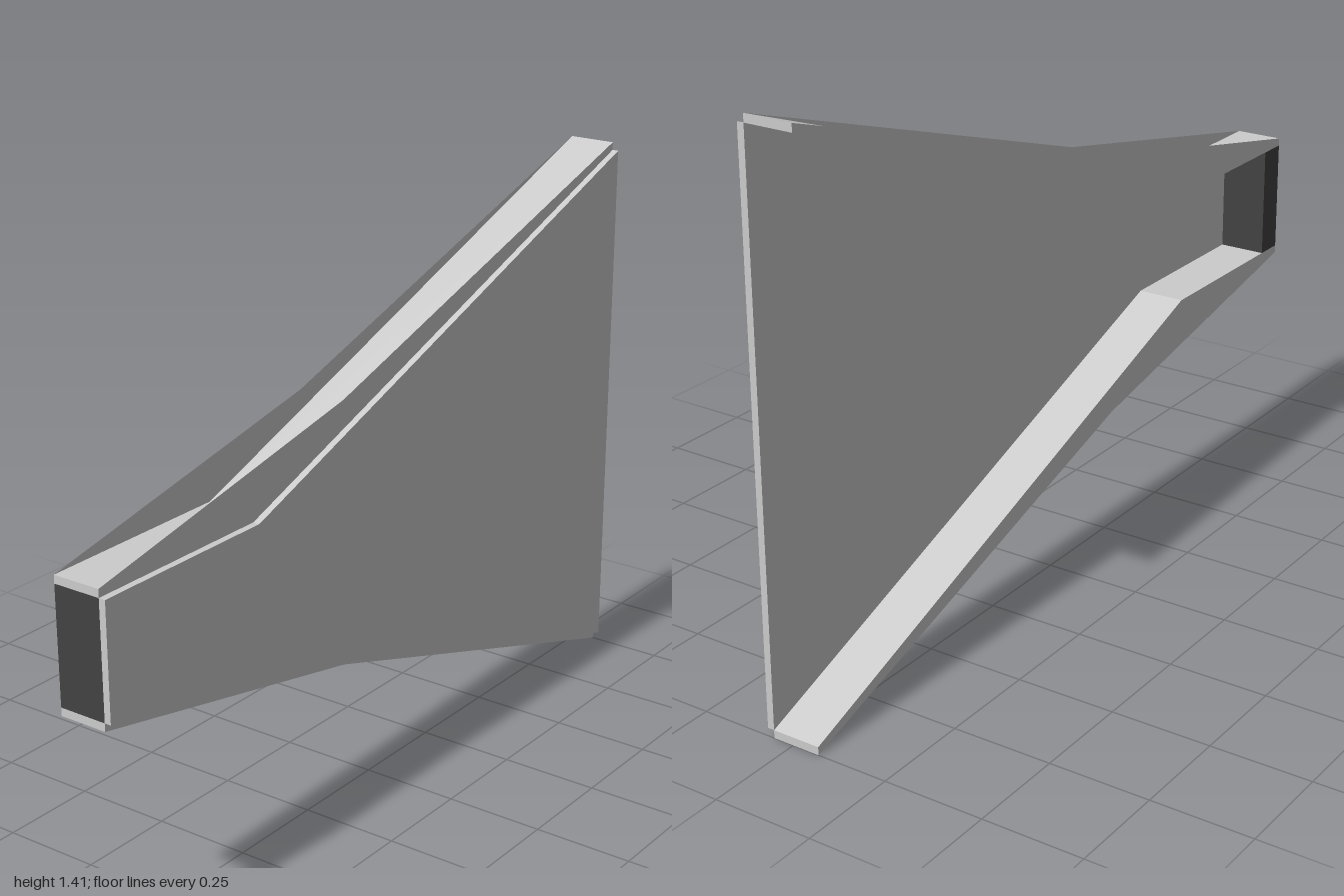
import * as THREE from 'three';

const MID_Y = 0.7075, BACK = -0.07, SEAM = 0.053, FRONT = 0.07;

export function createModel() {
  const group = new THREE.Group();
  group.name = 'taperedPanel';
  const grey = new THREE.MeshStandardMaterial({ color: 0xcccccc, flatShading: true });
  const sheet = new THREE.MeshStandardMaterial({ color: 0xcccccc, flatShading: true, side: THREE.DoubleSide });
  const dark = new THREE.MeshStandardMaterial({ color: 0x424242, flatShading: true });

  const add = (name, geometry, material, z) => {
    const mesh = new THREE.Mesh(geometry, material);
    mesh.name = name;
    mesh.position.set(0, MID_Y, z);
    group.add(mesh);
    return mesh;
  };
  // Outlines are measured from the centre line; sign mirrors them up or down
  const outline = (points, sign = 1) =>
    new THREE.Shape(points.map(([x, y]) => new THREE.Vector2(x, y * sign)));
  const extrude = (shape, depth) =>
    new THREE.ExtrudeGeometry(shape, { depth, bevelEnabled: false });

  const inner = [[-1, 0.1425], [-0.5, 0.1425], [1, 0.6875]];
  const outer = [[-1, 0.1625], [-0.5, 0.1625], [1, 0.7075]];
  const mirrored = inner.map(([x, y]) => [x, -y]).reverse();

  // Flared front plate
  add('frontPlate', extrude(outline([...inner, ...mirrored]), FRONT - SEAM), grey, SEAM);

  // Bent flanges, each with a thin web along its front and back edge
  for (const [side, sign] of [['upper', 1], ['lower', -1]]) {
    const flange = outline([...inner, ...[...outer].reverse()], sign);
    add(side + 'Flange', extrude(flange, SEAM - BACK), grey, BACK);
    const web = outline([...outer, [-0.17, 0.3325]], sign);
    add(side + 'FrontWeb', new THREE.ShapeGeometry(web), sheet, SEAM);
    add(side + 'BackWeb', new THREE.ShapeGeometry(web), sheet, BACK);
  }

  // Dark block closing the narrow end
  const block = add('endBlock', new THREE.BoxGeometry(0.075, 0.285, SEAM - BACK), dark, (SEAM + BACK) / 2);
  block.position.x = -1 + 0.075 / 2;

  return group;
}
